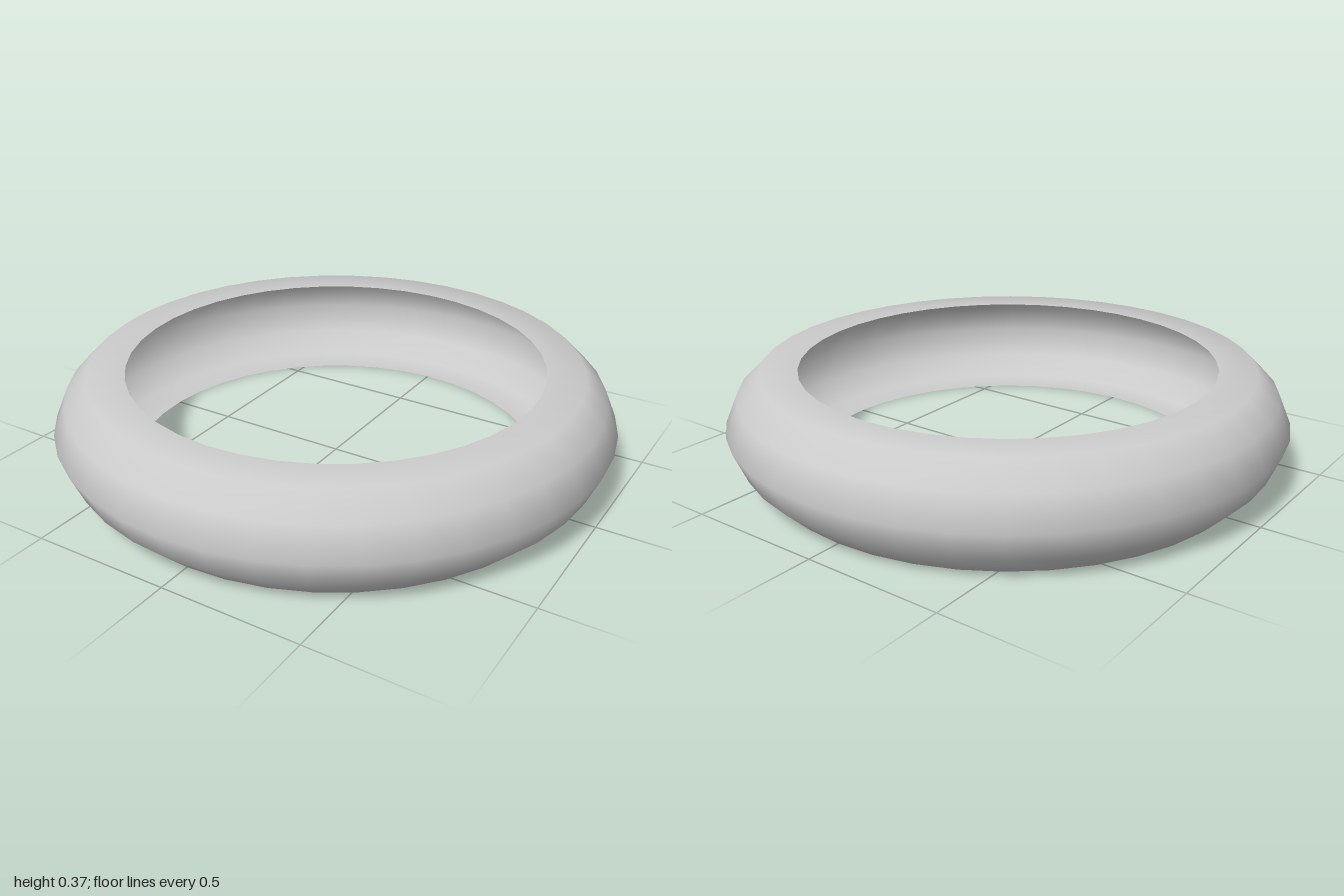
import * as THREE from 'three';

export function createModel() {
  const group = new THREE.Group();
  group.name = 'tire';

  // C-shaped cross-section, open towards the hub: [radius, height] from bottom to middle
  const height = 0.365;
  const lower = [[0.743, 0], [0.877, 0], [0.955, 0.077]];
  const upper = lower.map(([r, y]) => [r, height - y]).reverse();
  const profile = [...lower, [1, height / 2], ...upper]
    .map(([r, y]) => new THREE.Vector2(r, y));

  // Hollow shell swept around the axle
  const shell = new THREE.Mesh(
    new THREE.LatheGeometry(profile, 40),
    new THREE.MeshStandardMaterial({ color: 0xcccccc, side: THREE.DoubleSide })
  );
  shell.name = 'tireShell';
  group.add(shell);

  return group;
}
